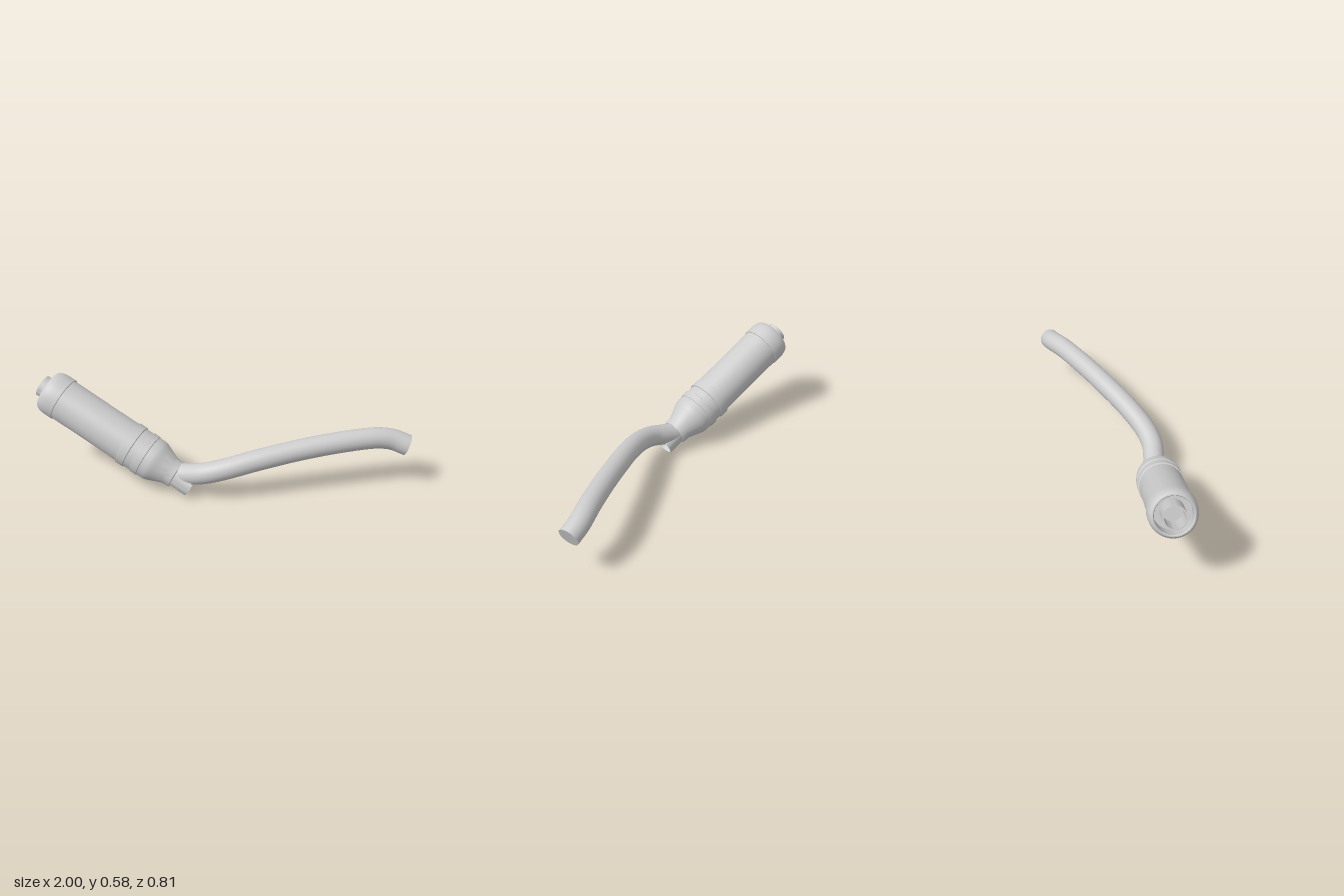
import * as THREE from 'three';
import { toCreasedNormals } from 'three/addons/utils/BufferGeometryUtils.js';

export function createModel() {
  const model = new THREE.Group();
  model.name = 'exhaust';
  const steel = new THREE.MeshStandardMaterial({ color: 0xcccccc, side: THREE.DoubleSide });
  steel.name = 'brushed steel';

  // Muffler axis runs from the raised tip down to the inlet
  const tip = new THREE.Vector3(-0.97, 0.502, 0.282);
  const inlet = new THREE.Vector3(-0.06, 0.066, 0.248);
  const axis = inlet.clone().sub(tip).normalize();
  const muffler = new THREE.Group();
  muffler.name = 'muffler';
  muffler.position.copy(tip);
  muffler.quaternion.setFromUnitVectors(new THREE.Vector3(0, 1, 0), axis);
  model.add(muffler);

  // Turned part from [radius, distance along the axis] pairs
  function turned(name, profile) {
    const points = profile.map(([r, s]) => new THREE.Vector2(r, s));
    const mesh = new THREE.Mesh(toCreasedNormals(new THREE.LatheGeometry(points, 48), 0.5), steel);
    mesh.name = name;
    muffler.add(mesh);
  }

  // Open tip pipe standing in the recessed end
  turned('tipPipe', [[0.054, 0.14], [0.054, 0], [0.062, 0], [0.062, 0.14]]);
  turned('recessFloor', [[0.001, 0.13], [0.098, 0.13]]);
  turned('endCap', [
    [0.098, 0.13], [0.098, 0.046], [0.102, 0.04], [0.108, 0.041], [0.116, 0.05],
    [0.122, 0.065], [0.126, 0.085], [0.127, 0.11], [0.127, 0.146], [0.121, 0.148],
  ]);
  turned('body', [[0.121, 0.146], [0.12, 0.4], [0.12, 0.74]]);

  // Clamp bands around the lower body
  for (const [start, end, r] of [[0.58, 0.632, 0.127], [0.675, 0.72, 0.125]]) {
    turned('band', [[0.119, start], [r, start + 0.003], [r, end - 0.003], [0.119, end]]);
  }

  // Shoulder, cone and collar
  turned('cone', [
    [0.12, 0.738], [0.12, 0.76], [0.117, 0.775], [0.109, 0.795],
    [0.082, 0.86], [0.08, 0.868], [0.078, 0.905], [0.067, 0.908],
  ]);
  const length = inlet.distanceTo(tip);
  turned('inletSleeve', [[0.067, 0.88], [0.067, length], [0.062, length], [0.062, 0.88]]);

  // Bent header pipe
  const path = new THREE.CatmullRomCurve3([
    [-0.15, 0.118, 0.246], [-0.07, 0.135, 0.246], [0.02, 0.162, 0.242], [0.12, 0.194, 0.206],
    [0.27, 0.238, 0.115], [0.45, 0.276, -0.012], [0.62, 0.3, -0.132], [0.78, 0.31, -0.246],
    [0.84, 0.306, -0.288], [0.9, 0.292, -0.323], [0.978, 0.262, -0.348],
  ].map((p) => new THREE.Vector3(...p)));
  const radius = 0.059;
  const pipe = new THREE.Mesh(new THREE.TubeGeometry(path, 80, radius, 32), steel);
  pipe.name = 'headerPipe';
  model.add(pipe);

  // Closed face at the far end of the pipe
  const face = new THREE.Mesh(new THREE.CircleGeometry(radius, 32), steel);
  face.name = 'pipeEnd';
  face.position.copy(path.getPointAt(1));
  face.quaternion.setFromUnitVectors(new THREE.Vector3(0, 0, 1), path.getTangentAt(1));
  model.add(face);

  return model;
}
